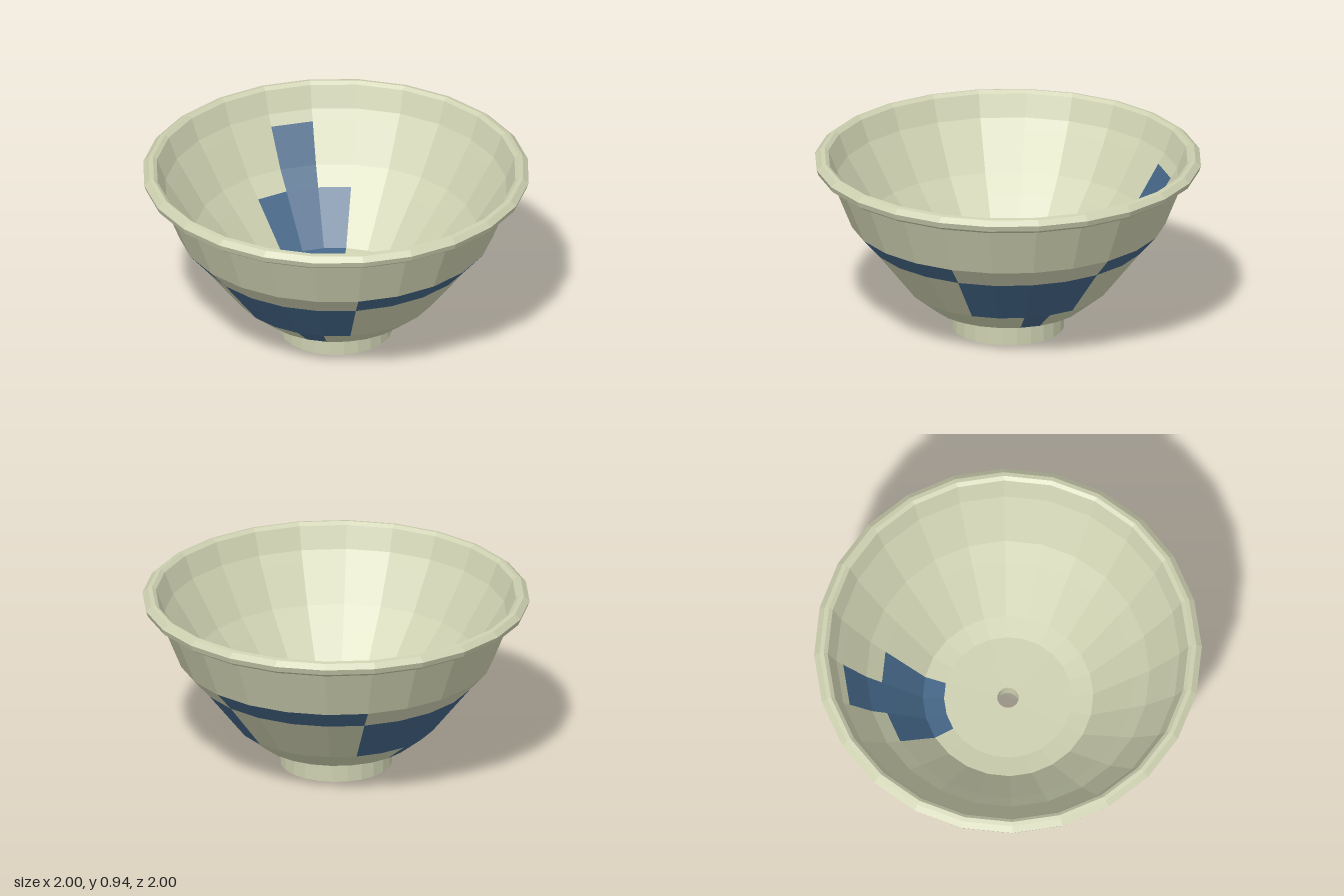
import * as THREE from 'three';

const SIDES = 24; // every facet spans 15 degrees

const cream = new THREE.MeshStandardMaterial({ color: 0xcdd0b0 });
cream.name = 'cream glaze';
const blue = new THREE.MeshStandardMaterial({ color: 0x456788 });
blue.name = 'blue glaze';

// Faceted ring of revolution; isBlue(band, facet) picks the painted faces.
function turned(name, profile, isBlue = () => false) {
  const points = profile.map(([r, y]) => new THREE.Vector2(r, y));
  const lathe = new THREE.LatheGeometry(points, SIDES);
  const bands = points.length - 1;
  for (let facet = 0; facet < SIDES; facet++) {
    for (let band = 0; band < bands; band++) {
      lathe.addGroup(6 * (facet * bands + band), 6, isBlue(band, facet) ? 1 : 0);
    }
  }
  const geometry = lathe.toNonIndexed();
  geometry.computeVertexNormals();
  const mesh = new THREE.Mesh(geometry, [cream, blue]);
  mesh.name = name;
  return mesh;
}

export function createModel() {
  const bowl = new THREE.Group();
  bowl.name = 'bowl';

  // Hollow foot ring, with the underside reaching to the centre hole
  bowl.add(turned('foot', [
    [0.055, 0.13], [0.22, 0.13], [0.22, 0], [0.29, 0], [0.29, 0.135], [0.4, 0.135],
  ]));

  // Outer wall: checkered bands repeating every eight facets
  bowl.add(turned('outerWall', [
    [0.4, 0.135], [0.525, 0.235], [0.725, 0.488], [0.815, 0.59], [0.925, 0.865],
  ], (band, facet) => {
    const f = facet % 8;
    if (band === 0) return f === 3;
    if (band === 1) return f >= 1 && f <= 4;
    return band === 2 && (f === 0 || f >= 5);
  }));

  // Rolled lip
  bowl.add(turned('rim', [
    [0.925, 0.865], [0.965, 0.868], [0.99, 0.885], [1, 0.915],
    [0.972, 0.94], [0.95, 0.945], [0.93, 0.93],
  ]));

  // Inner wall and floor with a single painted patch, then the drain hole
  bowl.add(turned('innerWall', [
    [0.93, 0.93], [0.885, 0.815], [0.85, 0.76], [0.73, 0.57], [0.65, 0.48],
    [0.44, 0.235], [0.33, 0.215], [0.055, 0.21], [0.055, 0.13],
  ], (band, facet) => {
    if (band === 2 || band === 3) return facet === 9;
    return (band === 4 || band === 5) && facet >= 8 && facet <= 10;
  }));

  return bowl;
}
